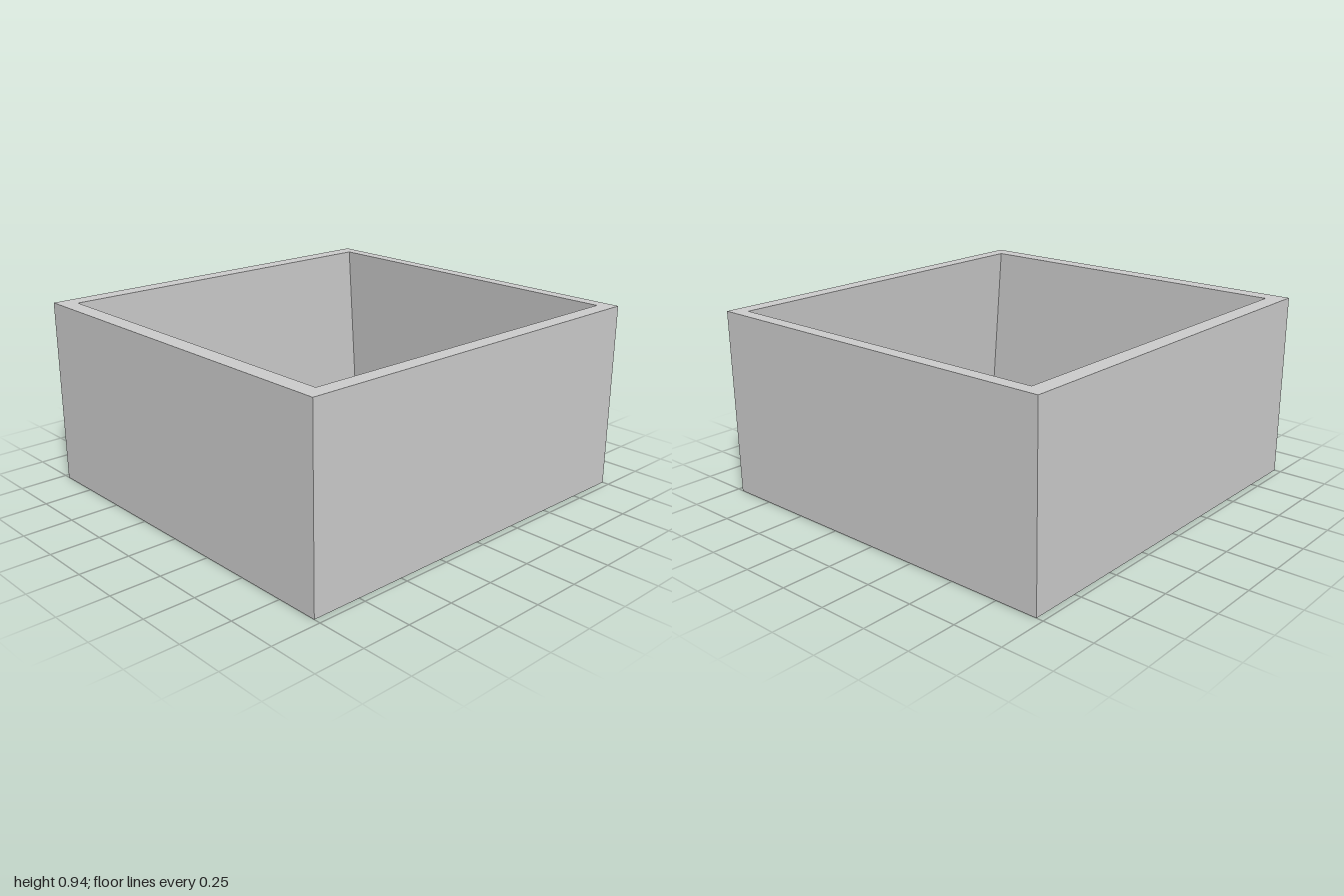
import * as THREE from 'three';

// Rectangular ring of four corners at height y, counter-clockwise seen from above
const ring = (x0, x1, z0, z1, y) => [[x0, y, z1], [x1, y, z1], [x1, y, z0], [x0, y, z0]];

// Skin consecutive rings with quads, closing the first and last ring with caps
function skin(rings) {
  const pos = [];
  const quad = (a, b, c, d) => pos.push(...a, ...b, ...c, ...a, ...c, ...d);
  const first = rings[0], last = rings[rings.length - 1];
  quad(first[3], first[2], first[1], first[0]);
  for (let r = 0; r < rings.length - 1; r++) {
    for (let i = 0; i < 4; i++) {
      const j = (i + 1) % 4;
      quad(rings[r][i], rings[r][j], rings[r + 1][j], rings[r + 1][i]);
    }
  }
  quad(...last);
  const geo = new THREE.BufferGeometry();
  geo.setAttribute('position', new THREE.Float32BufferAttribute(pos, 3));
  geo.computeVertexNormals();
  return geo;
}

export function createModel() {
  const group = new THREE.Group();
  group.name = 'openBox';
  const material = new THREE.MeshStandardMaterial({ color: 0xcccccc, flatShading: true });

  // Straight outer walls, flat rim, cavity that widens toward +x and -z at its floor
  const box = new THREE.Mesh(skin([
    ring(-0.966, 0.966, -1, 1, 0),
    ring(-0.966, 0.966, -1, 1, 0.94),
    ring(-0.88, 0.887, -0.934, 0.915, 0.94),
    ring(-0.88, 0.962, -0.996, 0.915, 0.005),
  ]), material);
  box.name = 'boxShell';
  group.add(box);
  return group;
}
